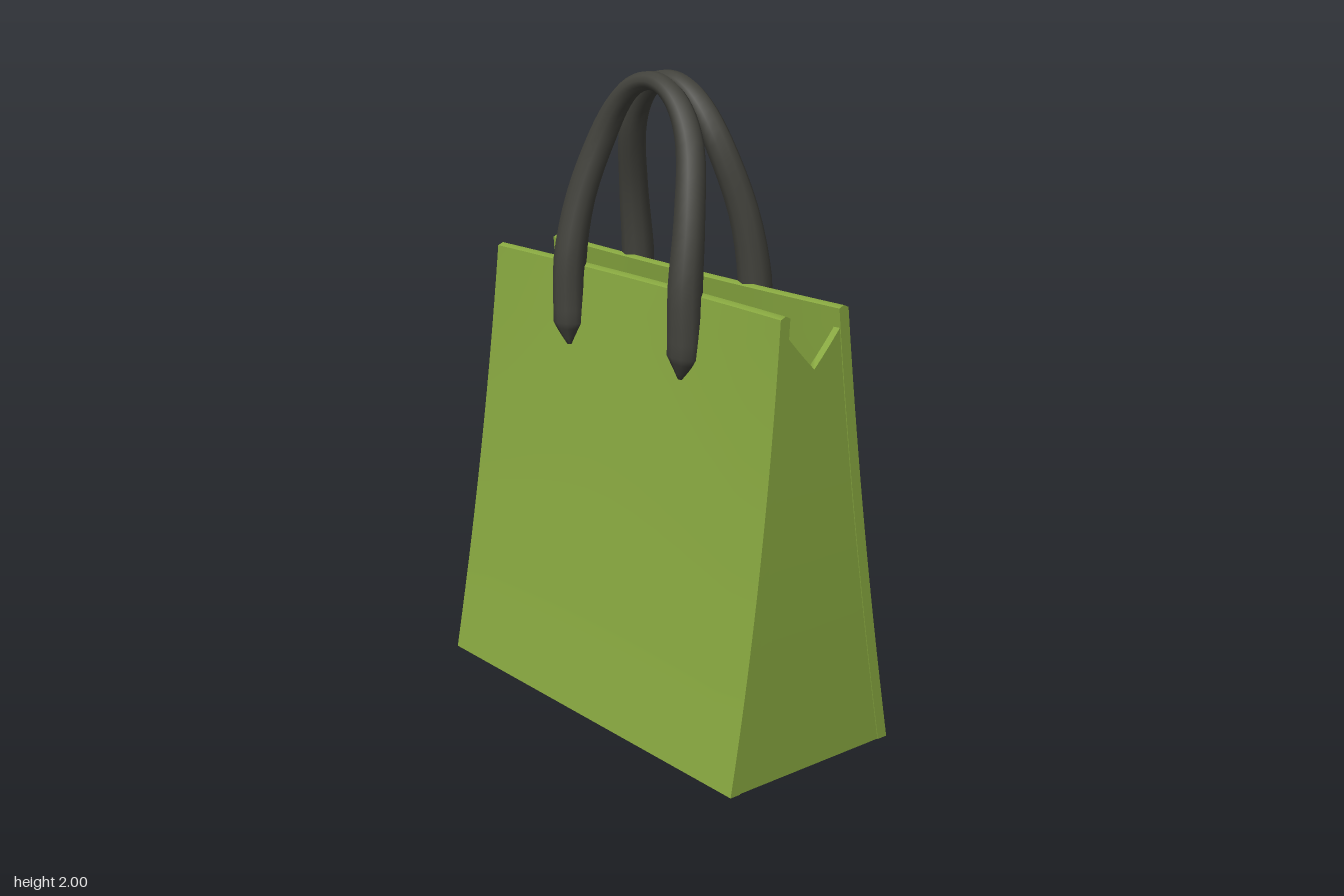
import * as THREE from 'three';

const HEIGHT = 1.39;
const green = new THREE.MeshStandardMaterial({ color: 0x88a840 });
green.name = 'green leather';
const charcoal = new THREE.MeshStandardMaterial({ color: 0x42423c });
charcoal.name = 'charcoal leather';

// Bag outline: half width flares towards the base, half length barely tapers
const halfWidth = (y) => 0.13 + 0.12 * (1 - y / HEIGHT) + 0.07 * (1 - y / HEIGHT) ** 2;
const halfLength = (y) => 0.71 - 0.027 * (y / HEIGHT) ** 1.5;

// Moves every vertex by a rule, then recomputes smooth normals per face
function reshape(geometry, rule) {
  const p = geometry.attributes.position;
  const v = new THREE.Vector3();
  for (let i = 0; i < p.count; i++) {
    rule(v.fromBufferAttribute(p, i));
    p.setXYZ(i, v.x, v.y, v.z);
  }
  geometry.computeVertexNormals();
  return geometry;
}

// Large side panel, bowed slightly inwards along the rim
function panelGeometry() {
  return reshape(new THREE.BoxGeometry(1, 1, 2, 2, 14, 12), (v) => {
    const t = v.y + 0.5;
    const y = t * HEIGHT - (t === 1 && v.x !== 0 ? 0.008 : 0);
    const bow = 0.018 * t ** 3 * (1 - v.z * v.z);
    v.set(halfWidth(y) - bow + (v.x - 0.5) * 0.036, y, v.z * halfLength(y));
  });
}

// End gusset with a V notch at the top
function gussetGeometry() {
  return reshape(new THREE.BoxGeometry(2, 1, 0.024, 8, 14, 1), (v) => {
    const top = 1.22 + 0.13 * Math.abs(v.x);
    const y = (v.y + 0.5) * top;
    v.set(v.x * (halfWidth(y) - 0.012), y, halfLength(y) - 0.015 + v.z);
  });
}

// Handle stations from tip to crown: x, y, z, half width, half thickness
const STATIONS = [
  [0.147, 1.13, 0.272, 0.008, 0.008],
  [0.141, 1.2, 0.28, 0.047, 0.056],
  [0.136, 1.4, 0.28, 0.05, 0.055],
  [0.105, 1.6, 0.261, 0.043, 0.051],
  [0.056, 1.8, 0.204, 0.041, 0.045],
  [0.041, 1.9, 0.143, 0.037, 0.037],
  [0.036, 1.954, 0.075, 0.034, 0.03],
  [0.033, 1.972, 0, 0.033, 0.028],
];

// Tapered arch swept along the stations and their mirror image
function handleGeometry() {
  const mirrored = STATIONS.slice(0, -1).reverse().map(([x, y, z, a, b]) => [x, y, -z, a, b]);
  const all = [...STATIONS, ...mirrored];
  const path = new THREE.CatmullRomCurve3(all.map((s) => new THREE.Vector3(s[0], s[1], s[2])), false, 'centripetal');
  const steps = 56, sides = 10;
  const positions = [], indices = [];
  for (let i = 0; i <= steps; i++) {
    const t = i / steps;
    const f = t * (all.length - 1);
    const k = Math.min(Math.floor(f), all.length - 2);
    const [a, b] = [3, 4].map((n) => THREE.MathUtils.lerp(all[k][n], all[k + 1][n], f - k));
    const centre = path.getPoint(t);
    const tangent = path.getTangent(t);
    const across = new THREE.Vector3(1, 0, 0).addScaledVector(tangent, -tangent.x).normalize();
    const out = tangent.clone().cross(across);
    for (let j = 0; j < sides; j++) {
      const angle = (j / sides) * Math.PI * 2;
      const p = centre.clone()
        .addScaledVector(across, a * Math.cos(angle))
        .addScaledVector(out, b * Math.sin(angle));
      positions.push(p.x, p.y, p.z);
      if (i < steps) {
        const n = (j + 1) % sides;
        const p0 = i * sides + j, p1 = i * sides + n;
        indices.push(p0, p1, p1 + sides, p0, p1 + sides, p0 + sides);
      }
    }
  }
  // Close both tips
  const last = steps * sides;
  for (let j = 1; j < sides - 1; j++) {
    indices.push(0, j + 1, j, last, last + j, last + j + 1);
  }
  const geometry = new THREE.BufferGeometry();
  geometry.setAttribute('position', new THREE.Float32BufferAttribute(positions, 3));
  geometry.setIndex(indices);
  geometry.computeVertexNormals();
  return geometry;
}

export function createModel() {
  const bag = new THREE.Group();
  bag.name = 'handbag';
  const add = (name, geometry, material, turn = 0) => {
    const mesh = new THREE.Mesh(geometry, material);
    mesh.name = name;
    mesh.rotation.y = turn;
    bag.add(mesh);
  };

  // Base closes the flared bottom
  add('base', reshape(new THREE.BoxGeometry(2, 0.03, 2), (v) => {
    const y = v.y + 0.015;
    v.set(v.x * (halfWidth(y) - 0.003), y + 0.002, v.z * (halfLength(y) - 0.004));
  }), green);

  // Panels, gussets and handles repeat by a half turn
  const panel = panelGeometry(), gusset = gussetGeometry(), handle = handleGeometry();
  add('leftPanel', panel, green);
  add('rightPanel', panel, green, Math.PI);
  add('frontGusset', gusset, green);
  add('backGusset', gusset, green, Math.PI);
  add('leftHandle', handle, charcoal);
  add('rightHandle', handle, charcoal, Math.PI);
  return bag;
}
